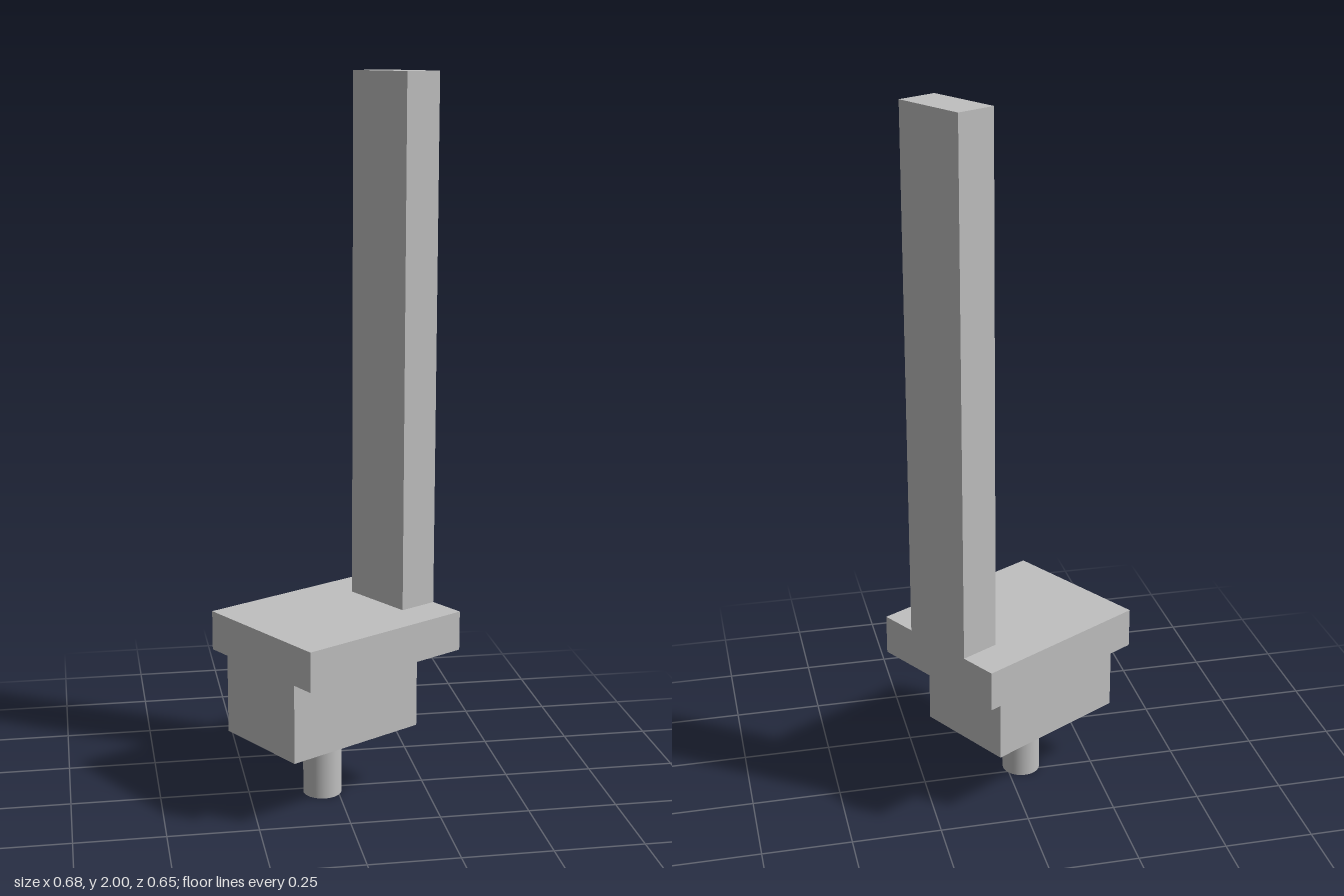
import * as THREE from 'three';

export function createModel() {
  const model = new THREE.Group();
  model.name = 'postAssembly';

  const grey = new THREE.MeshStandardMaterial({ color: 0xc0c0c0 });
  grey.name = 'lightGrey';

  // Adds a part spanning bottom..top, shifted along the assembly's long axis
  const add = (name, geometry, x, bottom, top) => {
    const mesh = new THREE.Mesh(geometry, grey);
    mesh.name = name;
    mesh.position.set(x, (bottom + top) / 2, 0);
    model.add(mesh);
  };
  const box = (name, width, depth, x, bottom, top) =>
    add(name, new THREE.BoxGeometry(width, top - bottom, depth), x, bottom, top);

  // Tall post, flush with one short edge of the plate
  box('post', 0.116, 0.221, 0.2085, 0.524, 2);
  // Flat plate
  box('plate', 0.533, 0.441, 0, 0.412, 0.524);
  // Block under the plate, flush with the opposite edge
  box('lowerBlock', 0.437, 0.301, -0.048, 0.19, 0.412);
  // Round shaft at the bottom
  add('shaft', new THREE.CylinderGeometry(0.054, 0.054, 0.19, 48), -0.05, 0, 0.19);

  // The whole assembly is turned about the vertical
  model.rotation.y = Math.PI / 6;
  return model;
}
